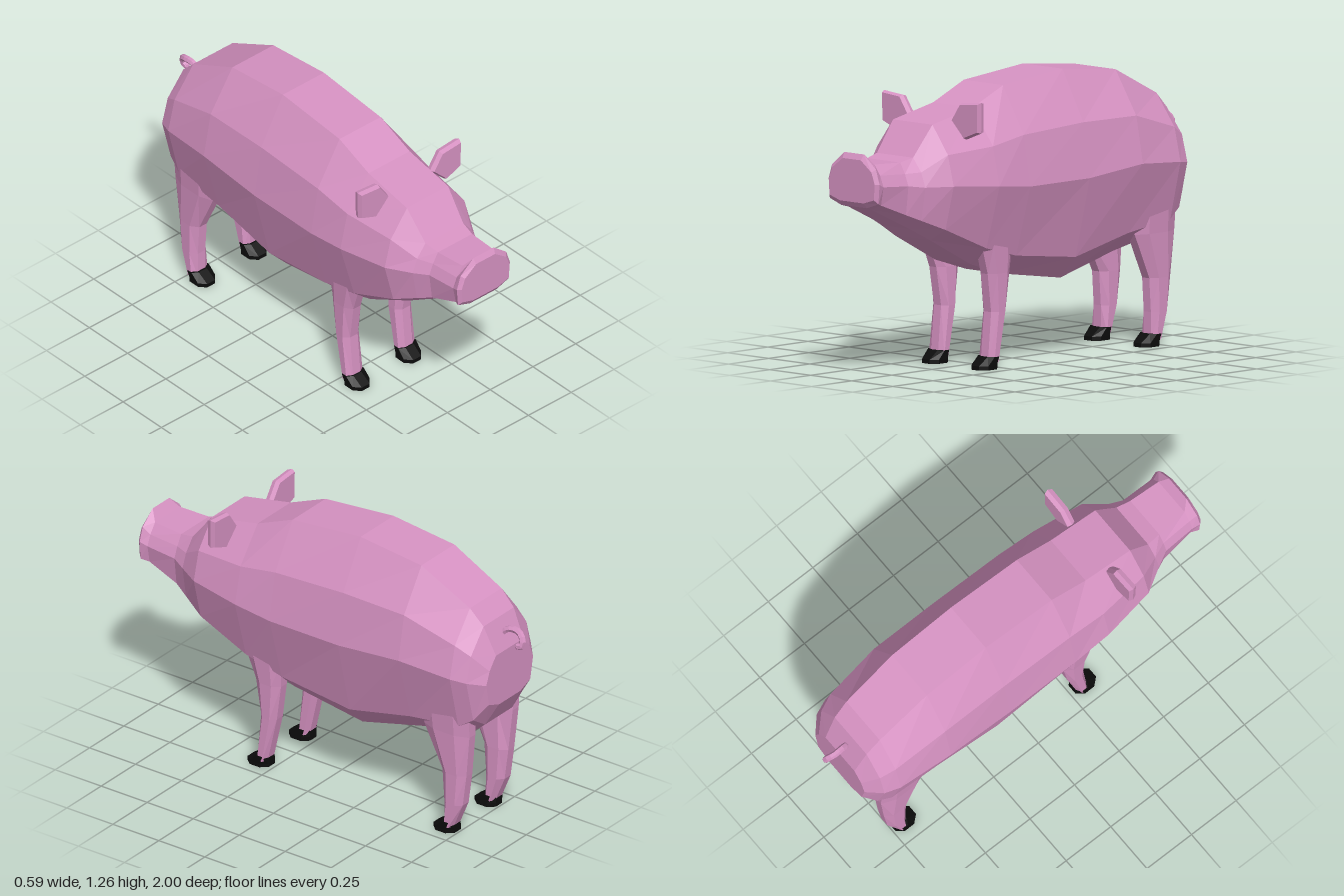
import * as THREE from 'three';

const pink = new THREE.MeshStandardMaterial({ color: 0xd692c2, flatShading: true });
const black = new THREE.MeshStandardMaterial({ color: 0x0c0c0c, flatShading: true });

// Closed skin through rings of equal point count, with both ends capped.
function loft(rings) {
  const n = rings[0].length;
  const pos = [];
  const tri = (a, b, c) => pos.push(...a, ...b, ...c);
  for (let r = 0; r < rings.length - 1; r++) {
    for (let i = 0; i < n; i++) {
      const j = (i + 1) % n;
      const [a, b, c, d] = [rings[r][i], rings[r][j], rings[r + 1][j], rings[r + 1][i]];
      tri(a, b, c);
      tri(a, c, d);
    }
  }
  const cap = (ring, flip) => {
    const mid = [0, 1, 2].map(k => ring.reduce((s, p) => s + p[k], 0) / n);
    for (let i = 0; i < n; i++) {
      const a = ring[i], b = ring[(i + 1) % n];
      flip ? tri(mid, b, a) : tri(mid, a, b);
    }
  };
  cap(rings[0], true);
  cap(rings[rings.length - 1], false);
  // A negative volume means the faces point inward, so turn them round.
  let volume = 0;
  const v = k => new THREE.Vector3().fromArray(pos, k);
  for (let k = 0; k < pos.length; k += 9) volume += v(k).dot(v(k + 3).cross(v(k + 6)));
  if (volume < 0) {
    for (let k = 0; k < pos.length; k += 9) {
      const b = pos.slice(k + 3, k + 6);
      for (let m = 0; m < 3; m++) {
        pos[k + 3 + m] = pos[k + 6 + m];
        pos[k + 6 + m] = b[m];
      }
    }
  }
  const g = new THREE.BufferGeometry();
  g.setAttribute('position', new THREE.Float32BufferAttribute(pos, 3));
  g.computeVertexNormals();
  return g;
}

// Ten-sided body section: the shoulder and belly corners follow from
// the heights (top, mid, bottom) and half widths (back, flank, belly).
function section([z, top, mid, bottom, back, flank, belly]) {
  const side = [
    [back, top],
    [flank * 0.86, mid + (top - mid) * 0.52],
    [flank, mid],
    [belly, bottom + (mid - bottom) * 0.22],
    [belly * 0.53, bottom],
  ];
  return [
    ...side.map(([x, y]) => [x, y, z]),
    ...side.reverse().map(([x, y]) => [-x, y, z]),
  ];
}

// Level ring with cut corners: y, x range, z range.
function levelRing([y, x0, x1, z0, z1]) {
  const cx = (x1 - x0) * 0.27, cz = (z1 - z0) * 0.27;
  return [
    [x0 + cx, y, z0], [x1 - cx, y, z0], [x1, y, z0 + cz], [x1, y, z1 - cz],
    [x1 - cx, y, z1], [x0 + cx, y, z1], [x0, y, z1 - cz], [x0, y, z0 + cz],
  ];
}

export function createModel() {
  const model = new THREE.Group();
  const add = (name, geometry, material = pink) => {
    const mesh = new THREE.Mesh(geometry, material);
    mesh.name = name;
    model.add(mesh);
  };

  // Body, head and snout in one skin, from rump to nose
  add('body', loft([
    [-0.91, 0.9, 0.78, 0.65, 0.1, 0.17, 0.15],
    [-0.85, 1.03, 0.8, 0.54, 0.11, 0.235, 0.185],
    [-0.78, 1.1, 0.81, 0.48, 0.115, 0.262, 0.2],
    [-0.52, 1.23, 0.83, 0.43, 0.12, 0.287, 0.2],
    [-0.19, 1.265, 0.8, 0.345, 0.12, 0.287, 0.2],
    [0.18, 1.23, 0.8, 0.4, 0.12, 0.287, 0.2],
    [0.37, 1.15, 0.82, 0.46, 0.12, 0.285, 0.205],
    [0.62, 1.1, 0.84, 0.59, 0.12, 0.25, 0.2],
    [0.73, 0.965, 0.84, 0.65, 0.11, 0.185, 0.16],
    [0.8, 0.95, 0.85, 0.685, 0.1, 0.15, 0.135],
    [0.95, 0.955, 0.86, 0.755, 0.09, 0.145, 0.13],
    [0.985, 1.0, 0.875, 0.765, 0.06, 0.155, 0.148],
    [1.0, 0.975, 0.875, 0.787, 0.055, 0.14, 0.135],
  ].map(section)));

  // Leg rings run from inside the body down to the hoof
  const frontLeg = [
    [0.72, 0.13, 0.215, 0.22, 0.4],
    [0.55, 0.125, 0.21, 0.19, 0.38],
    [0.42, 0.11, 0.203, 0.2, 0.335],
    [0.25, 0.105, 0.2, 0.225, 0.31],
    [0.03, 0.105, 0.2, 0.275, 0.33],
  ];
  const hindLeg = [
    [0.72, 0.12, 0.22, -0.83, -0.56],
    [0.5, 0.11, 0.205, -0.825, -0.58],
    [0.3, 0.105, 0.2, -0.805, -0.675],
    [0.15, 0.105, 0.2, -0.785, -0.685],
    [0.03, 0.105, 0.2, -0.735, -0.685],
  ];
  // Ear outline seen from the front
  const ear = [[0.297, 1.2], [0.18, 1.19], [0.125, 1.11], [0.205, 1.03], [0.295, 1.065]];
  const earRing = (z, k) => ear.map(([x, y]) => [0.22 + (x - 0.22) * k, 1.12 + (y - 1.12) * k, z]);

  for (const s of [1, -1]) {
    const mirror = rings => rings.map(r => r.map(([x, y, z]) => [x * s, y, z]));
    const side = s > 0 ? 'left' : 'right';

    for (const [name, rings, heel] of [['FrontLeg', frontLeg, 0.27], ['HindLeg', hindLeg, -0.74]]) {
      add(side + name, loft(mirror(rings.map(levelRing))));
      // Wedge hoof with the toe reaching forward
      add(side + name + 'Hoof', loft(mirror([
        levelRing([0, 0.1, 0.2, heel, heel + 0.115]),
        levelRing([0.018, 0.1, 0.2, heel, heel + 0.115]),
        levelRing([0.055, 0.102, 0.203, heel + 0.002, heel + 0.063]),
      ])), black);
    }

    // Thin ear, slightly smaller at the front and back
    add(side + 'Ear', loft(mirror([earRing(0.475, 0.92), earRing(0.495, 1), earRing(0.515, 0.9)])));
  }

  // Curled tail with a rounded tip
  const curl = new THREE.CatmullRomCurve3([
    [0, 0.95, -0.86], [-0.008, 0.985, -0.9], [-0.01, 0.985, -0.95],
    [0.002, 0.965, -0.98], [0.01, 0.935, -0.985], [0.012, 0.925, -0.965],
  ].map(p => new THREE.Vector3(...p)));
  add('tail', new THREE.TubeGeometry(curl, 10, 0.015, 6));
  const tip = new THREE.SphereGeometry(0.015, 6, 4);
  tip.translate(0.012, 0.925, -0.965);
  add('tailTip', tip);

  return model;
}
